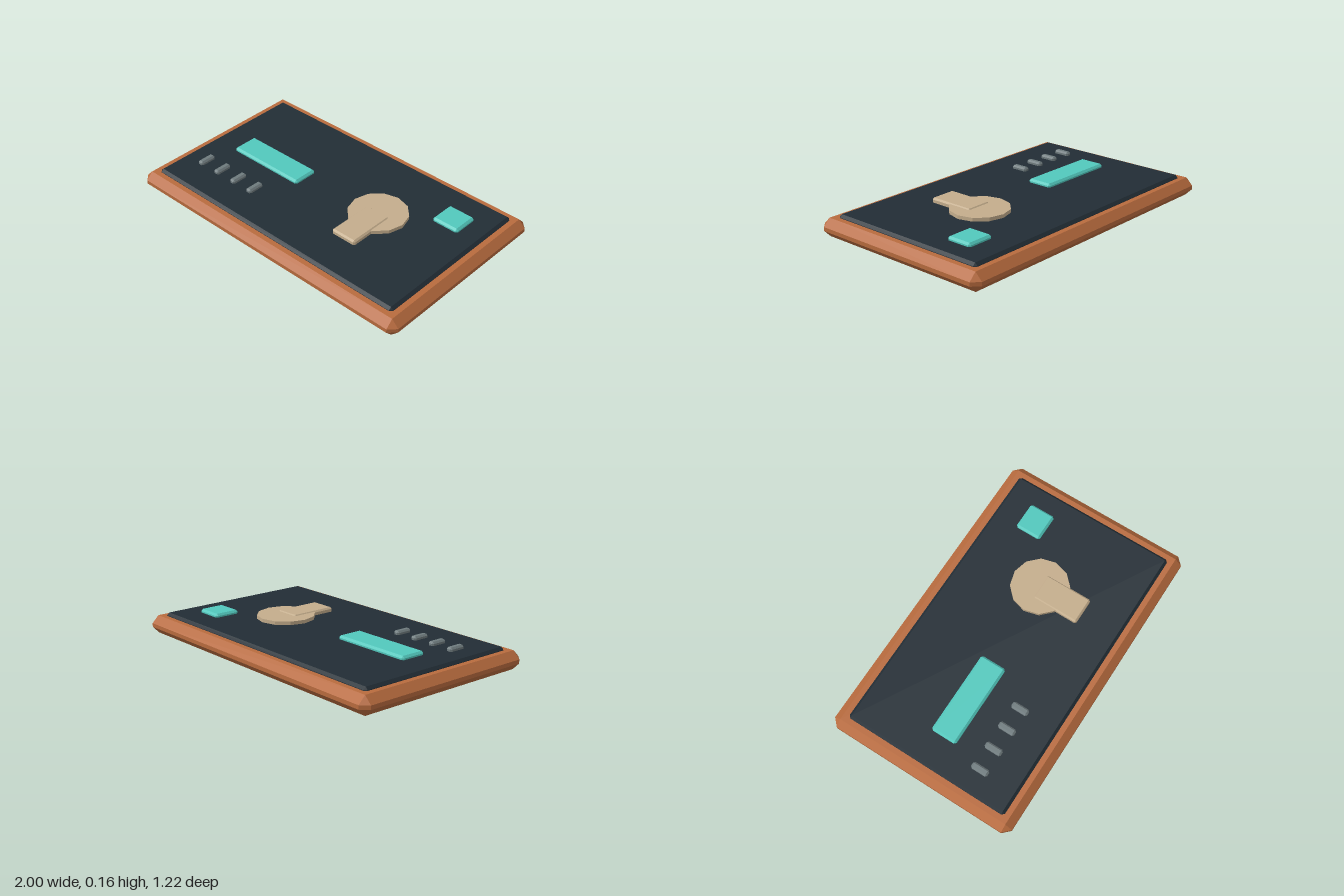
import * as THREE from 'three';
import { ConvexGeometry } from 'three/addons/geometries/ConvexGeometry.js';

const mat = (name, color) => {
  const m = new THREE.MeshStandardMaterial({ color });
  m.name = name;
  return m;
};

// Box between two corners, with every edge chamfered by c
function chamferBox(name, material, [x0, y0, z0], [x1, y1, z1], c) {
  const h = [(x1 - x0) / 2, (y1 - y0) / 2, (z1 - z0) / 2];
  const points = [];
  for (const sx of [-1, 1]) for (const sy of [-1, 1]) for (const sz of [-1, 1]) {
    for (let axis = 0; axis < 3; axis++) {
      const p = h.map((v, i) => (i === axis ? v : v - c));
      points.push(new THREE.Vector3(sx * p[0], sy * p[1], sz * p[2]));
    }
  }
  const mesh = new THREE.Mesh(new ConvexGeometry(points), material);
  mesh.position.set((x0 + x1) / 2, (y0 + y1) / 2, (z0 + z1) / 2);
  mesh.name = name;
  return mesh;
}

export function createModel() {
  const model = new THREE.Group();
  model.name = 'controlPanel';
  const wood = mat('copper brown', 0xb86b3e);
  const dark = mat('dark slate', 0x222d35);
  const teal = mat('teal', 0x52c8bd);
  const tan = mat('tan', 0xc4ad8c);
  const grey = mat('grey', 0x6f7b7e);

  // Base frame and inset dark plate
  model.add(chamferBox('frame', wood, [-1, 0, -0.608], [1, 0.112, 0.608], 0.044));
  model.add(chamferBox('plate', dark, [-0.922, 0.07, -0.531], [0.922, 0.131, 0.531], 0.016));

  // Teal display bar and square button
  model.add(chamferBox('displayBar', teal, [-0.73, 0.12, -0.083], [-0.2, 0.153, 0.083], 0.012));
  model.add(chamferBox('squareButton', teal, [0.61, 0.12, -0.363], [0.787, 0.153, -0.197], 0.012));

  // Round dial with its lever
  const disc = new THREE.CylinderGeometry(0.18, 0.18, 0.033, 12).toNonIndexed();
  disc.computeVertexNormals();
  const dial = new THREE.Mesh(disc, tan);
  dial.name = 'dial';
  dial.position.set(0.35, 0.1365, -0.027);
  model.add(dial);
  model.add(chamferBox('lever', tan, [0.265, 0.121, -0.025], [0.435, 0.159, 0.275], 0.01));

  // Row of four small indicators
  for (let i = 0; i < 4; i++) {
    const x = -0.774 + i * 0.14;
    model.add(chamferBox('indicator', grey, [x - 0.021, 0.12, 0.226], [x + 0.021, 0.153, 0.334], 0.01));
  }
  return model;
}
